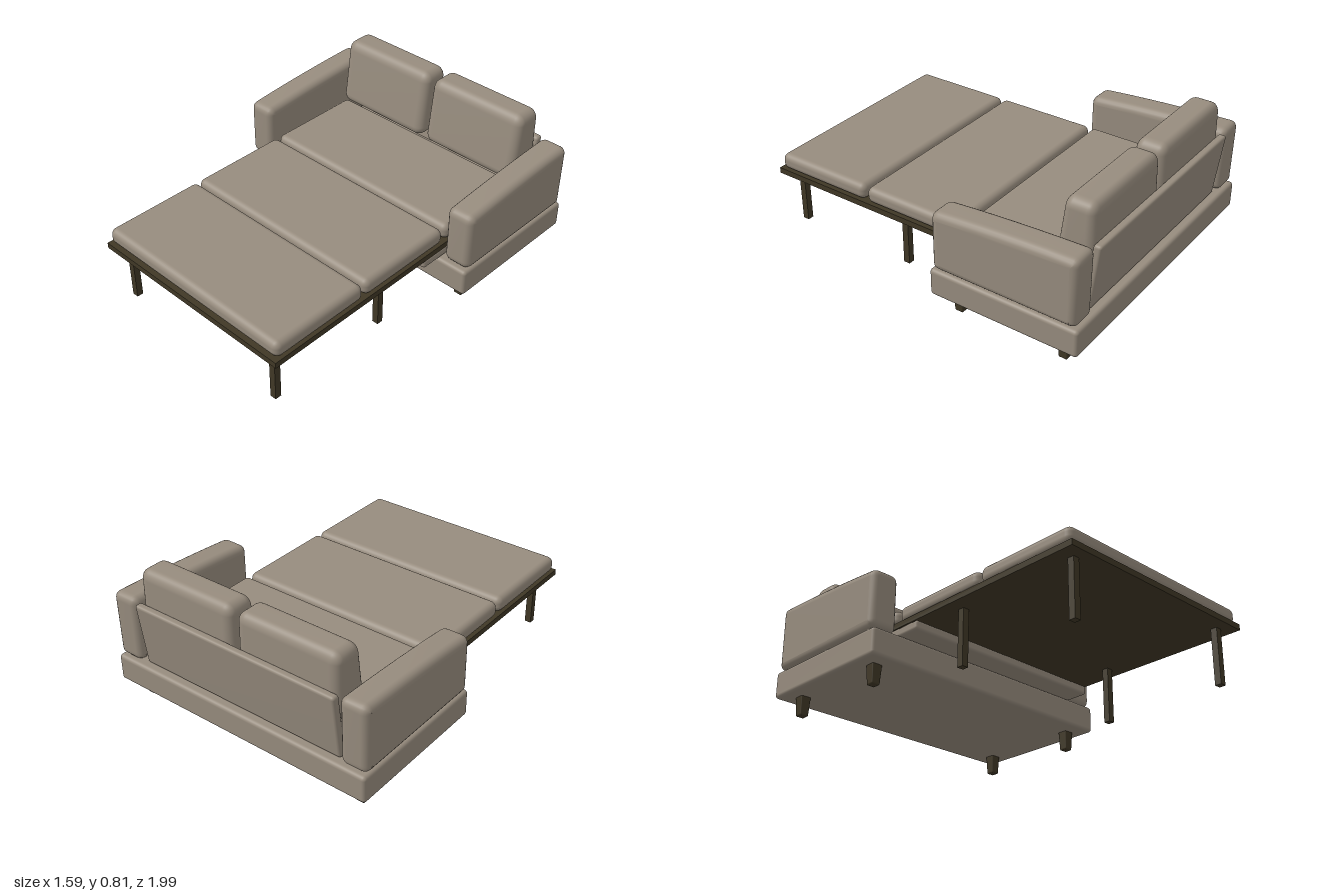
import * as THREE from 'three';
import { mergeVertices } from 'three/addons/utils/BufferGeometryUtils.js';
import { RoundedBoxGeometry } from 'three/addons/geometries/RoundedBoxGeometry.js';

const fabric = new THREE.MeshStandardMaterial({ color: 0x978c7e });
fabric.name = 'fabric';
const wood = new THREE.MeshStandardMaterial({ color: 0x403826 });
wood.name = 'darkWood';

// Weld the vertices and compute smooth normals
function smooth(geometry) {
  geometry.deleteAttribute('normal');
  geometry.deleteAttribute('uv');
  const welded = mergeVertices(geometry, 1e-4);
  welded.computeVertexNormals();
  return welded;
}

// Rounded box given by its [min, max] ranges; warp(v) may move the vertices
function softBox([x0, x1], [y0, y1], [z0, z1], radius, warp) {
  const g = new RoundedBoxGeometry(x1 - x0, y1 - y0, z1 - z0, 4, radius);
  g.translate((x0 + x1) / 2, (y0 + y1) / 2, (z0 + z1) / 2);
  if (!warp) return g;
  const p = g.attributes.position;
  const v = new THREE.Vector3();
  for (let i = 0; i < p.count; i++) {
    v.fromBufferAttribute(p, i);
    warp(v);
    p.setXYZ(i, v.x, v.y, v.z);
  }
  return smooth(g);
}

// Arm: side profile with a gently rising top, extruded across its width
function armGeometry() {
  const front = -0.17, back = -0.98, bottom = 0.26, r = 0.042, bevel = 0.04;
  const s = new THREE.Shape();
  s.moveTo(back + r, bottom);
  s.lineTo(front - r, bottom);
  s.quadraticCurveTo(front, bottom, front, bottom + r);
  s.lineTo(front, 0.583 - r);
  s.quadraticCurveTo(front, 0.583, front - r, 0.587);
  s.quadraticCurveTo(-0.55, 0.618, back + r, 0.628);
  s.quadraticCurveTo(back, 0.629, back, 0.628 - r);
  s.lineTo(back + 0.004, bottom + r);
  s.quadraticCurveTo(back, bottom, back + r, bottom);
  const width = 0.16;
  const g = new THREE.ExtrudeGeometry(s, {
    depth: width - 2 * bevel, bevelThickness: bevel, bevelSize: bevel,
    bevelOffset: -bevel, bevelSegments: 5, curveSegments: 6,
  });
  g.translate(0, 0, -(width - 2 * bevel) / 2);
  g.rotateY(-Math.PI / 2);
  return smooth(g);
}

export function createModel() {
  const model = new THREE.Group();
  model.name = 'sofaBed';
  const add = (name, geometry, material, x = 0, y = 0, z = 0) => {
    const mesh = new THREE.Mesh(geometry, material);
    mesh.name = name;
    mesh.position.set(x, y, z);
    model.add(mesh);
    return mesh;
  };

  // Upholstered base and the inner platform that slides out
  add('base', softBox([-0.792, 0.792], [0.105, 0.255], [-0.993, -0.155], 0.02), fabric);
  add('platform', softBox([-0.62, 0.62], [0.255, 0.305], [-0.92, -0.04], 0.015), fabric);

  // Backrest panel leaning slightly backwards
  add('backPanel', softBox([-0.622, 0.622], [0.255, 0.617], [-0.995, -0.95], 0.016,
    (v) => { v.z += (0.617 - v.y) * 0.125; }), fabric);

  // Pull-out bed frame
  add('bedFrame', new THREE.BoxGeometry(1.24, 0.032, 1.78), wood, 0, 0.32, 0.11);

  // Three mattress sections
  for (const [z0, z1] of [[-0.78, -0.205], [-0.19, 0.392], [0.405, 0.985]]) {
    add('seatCushion', softBox([-0.614, 0.614], [0.335, 0.425], [z0, z1], 0.036), fabric);
  }

  const footGeometry = softBox([-0.03, 0.03], [0, 0.115], [-0.03, 0.03], 0.008, (v) => {
    const k = 0.78 + 0.22 * (v.y / 0.115);
    v.x *= k;
    v.z *= k;
  });
  const legGeometry = new THREE.BoxGeometry(0.036, 0.305, 0.036);
  const arm = armGeometry();

  for (const side of [-1, 1]) {
    add('arm', arm, fabric, side * 0.715);

    // Back cushion: front leans back, narrowing towards the top
    add('backCushion', softBox([-0.305, 0.305], [0.42, 0.806], [-0.957, -0.745], 0.055, (v) => {
      const t = (v.y - 0.42) / 0.386;
      v.x *= 1 - 0.015 * t;
      const f = (v.z + 0.957) / 0.212;
      v.z += f * (0.01 - 0.05 * t) + (1 - f) * 0.008 * t;
    }), fabric, side * 0.315);

    for (const z of [-0.27, -0.872]) add('foot', footGeometry, wood, side * 0.69, 0, z);
    for (const z of [0.2, 0.92]) add('bedLeg', legGeometry, wood, side * 0.525, 0.1525, z);
  }
  return model;
}
